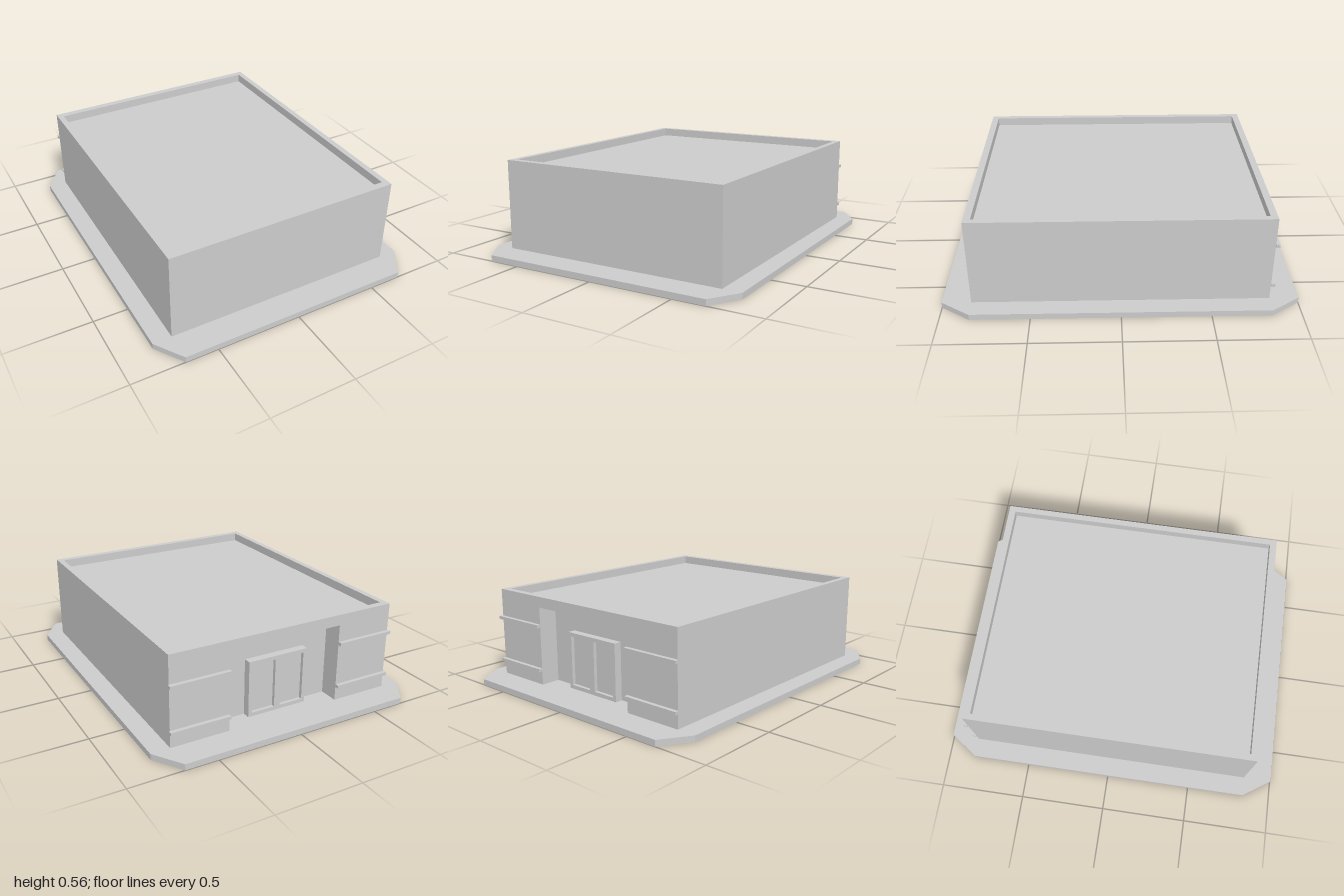
import * as THREE from 'three';

const W = 0.69, D = 0.835, TOP = 0.555;          // building half width, half depth, height
const SLAB = 0.035, ROOF = 0.505;                // slab top and roof deck heights
const RX = 0.345, RZ = -0.72, RTOP = 0.493;      // entrance recess half width, back plane, top
const IW = 0.655, ID = 0.795;                    // inside of the parapet

const mat = new THREE.MeshStandardMaterial({ color: 0xcccccc, flatShading: true, side: THREE.DoubleSide });

function add(group, name, geometry) {
  const mesh = new THREE.Mesh(geometry, mat);
  mesh.name = name;
  group.add(mesh);
  return mesh;
}

// Upright wall strip along a path of [x, z] points
function strip(path, y0, y1) {
  const pos = [];
  for (let i = 0; i < path.length - 1; i++) {
    const [ax, az] = path[i], [bx, bz] = path[i + 1];
    pos.push(ax, y0, az, bx, y0, bz, bx, y1, bz, ax, y0, az, bx, y1, bz, ax, y1, az);
  }
  const g = new THREE.BufferGeometry();
  g.setAttribute('position', new THREE.Float32BufferAttribute(pos, 3));
  g.computeVertexNormals();
  return g;
}

const toShape = (pts) => new THREE.Shape(pts.map(([a, b]) => new THREE.Vector2(a, b)));

// Level sheet from [x, z] points, facing up, with an optional hole
function sheet(pts, y, hole) {
  const flip = (list) => list.map(([x, z]) => [x, -z]);
  const s = toShape(flip(pts));
  if (hole) s.holes.push(toShape(flip(hole)));
  return new THREE.ShapeGeometry(s).rotateX(-Math.PI / 2).translate(0, y, 0);
}

const rect = (x, z) => [[-x, z], [x, z], [x, -z], [-x, -z]];
const closed = (pts) => [...pts, pts[0]];

export function createModel() {
  const model = new THREE.Group();
  model.name = 'building';

  // Base slab: chamfered, open underneath, cut out along the building footprint
  const outline = [[-W, 1], [W, 1], [0.8, D], [0.8, -D], [W, -1], [-W, -1], [-0.8, -D], [-0.8, D]];
  const recess = [[RX, -D], [RX, RZ], [-RX, RZ], [-RX, -D]];
  const footprint = [[-W, D], [W, D], [W, -D], ...recess, [-W, -D]];
  add(model, 'slabTop', sheet(outline, SLAB, footprint));
  add(model, 'slabEdge', strip(closed(outline), 0, SLAB));

  // Front and side walls
  add(model, 'outerWalls', strip([[-W, -D], [-W, D], [W, D], [W, -D]], SLAB, TOP));

  // Back wall with the entrance opening
  const back = toShape([[-W, SLAB], [-RX, SLAB], [-RX, RTOP], [RX, RTOP], [RX, SLAB], [W, SLAB], [W, TOP], [-W, TOP]]);
  add(model, 'backWall', new THREE.ShapeGeometry(back).rotateY(Math.PI).translate(0, 0, -D));

  // Entrance recess
  add(model, 'recessWalls', strip(recess, SLAB, RTOP));
  add(model, 'recessCeiling', sheet(recess, RTOP));

  // Parapet and sunken roof
  add(model, 'parapetTop', sheet(rect(W, D), TOP, rect(IW, ID)));
  add(model, 'parapetInside', strip(closed(rect(IW, ID)).reverse(), ROOF, TOP));
  add(model, 'roof', sheet(rect(IW, ID), ROOF));

  // Double door: frame with two openings and set-back panels
  const door = new THREE.Group();
  door.name = 'door';
  const hw = 0.185, y0 = SLAB, y1 = 0.365, depth = 0.045;
  const frame = toShape([[-hw, y0], [hw, y0], [hw, y1], [-hw, y1]]);
  for (const s of [-1, 1]) {
    const a = s * 0.019, b = s * 0.163;
    frame.holes.push(toShape([[a, y0 + 0.022], [b, y0 + 0.022], [b, y1 - 0.022], [a, y1 - 0.022]]));
    const panel = add(door, 'doorPanel', new THREE.BoxGeometry(0.144, y1 - y0 - 0.044, 0.025));
    panel.position.set(s * 0.091, (y0 + y1) / 2, RZ - 0.0125);
  }
  const frameGeo = new THREE.ExtrudeGeometry(frame, { depth, bevelEnabled: false });
  add(door, 'doorFrame', frameGeo.translate(0, 0, RZ - depth));
  model.add(door);

  // Horizontal rails on the back wall, either side of the entrance
  for (const s of [-1, 1]) {
    for (const y of [0.125, 0.385]) {
      const rail = add(model, 'rail', new THREE.BoxGeometry(0.35, 0.018, 0.023));
      rail.position.set(s * 0.52, y, -D - 0.0115);
    }
  }
  return model;
}
